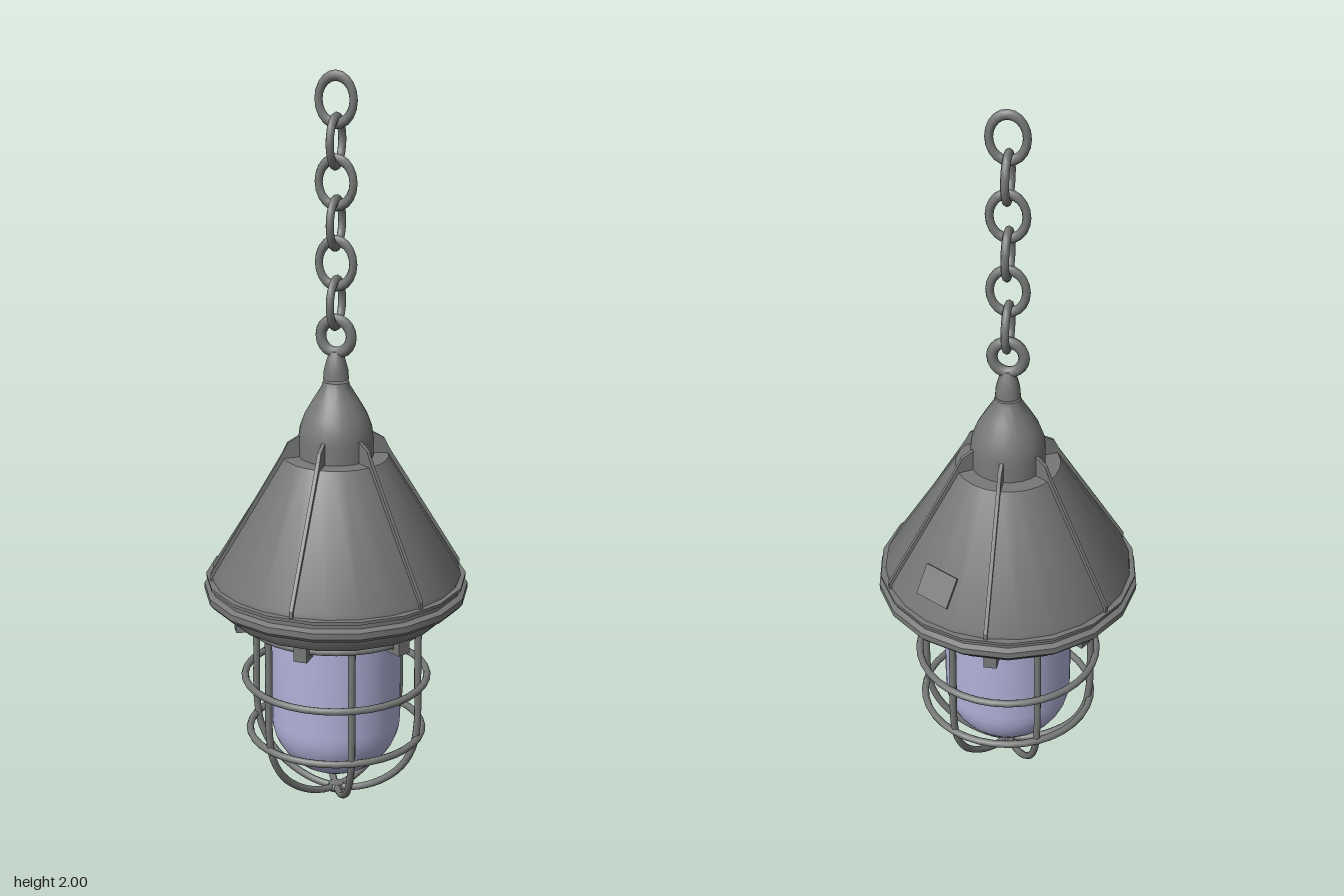
import * as THREE from 'three';
import { toCreasedNormals } from 'three/addons/utils/BufferGeometryUtils.js';

const metal = new THREE.MeshStandardMaterial({ color: 0x767977 });
metal.name = 'grey metal';
const glass = new THREE.MeshStandardMaterial({ color: 0xb3b3dc });
glass.name = 'lavender glass';

const V = (x, y, z = 0) => new THREE.Vector3(x, y, z);

export function createModel() {
  const model = new THREE.Group();
  model.name = 'cagedPendantLamp';

  function add(name, geometry, material = metal, parent = model) {
    const mesh = new THREE.Mesh(geometry, material);
    mesh.name = name;
    parent.add(mesh);
    return mesh;
  }

  // Profiles run from bottom to top as [radius, height]
  function lathe(name, profile, sides, material = metal) {
    const points = profile.map(([r, y]) => new THREE.Vector2(r, y));
    const geometry = new THREE.LatheGeometry(points, sides, Math.PI / 2);
    return add(name, toCreasedNormals(geometry, 0.6), material);
  }

  // Repeats a part around the vertical axis; the part is built pointing along +x
  function around(count, offset, build) {
    for (let i = 0; i < count; i++) {
      const arm = new THREE.Group();
      arm.rotation.y = offset + (i * Math.PI * 2) / count;
      build(arm, i);
      model.add(arm);
    }
  }

  // Chain: oval links turned a quarter from one to the next
  for (let i = 0; i < 6; i++) {
    const link = add('chainLink', new THREE.TorusGeometry(0.047, 0.011, 8, 20));
    link.scale.y = 1.28;
    link.position.y = 1.926 - i * 0.1045;
    link.rotation.y = i % 2 ? Math.PI / 2 : 0;
  }

  // Hanging eye and its flared neck
  const eye = add('hangingEye', new THREE.TorusGeometry(0.042, 0.015, 8, 20));
  eye.position.y = 1.315;
  eye.scale.y = 1.06;
  lathe('eyeNeck', [[0, 1.2], [0.034, 1.2], [0.032, 1.225], [0.024, 1.255], [0.016, 1.275], [0, 1.278]], 16);

  // Cap above the shade
  lathe('cap', [[0.1, 0.97], [0.1, 1.04], [0.096, 1.07], [0.083, 1.105], [0.06, 1.145], [0.038, 1.18], [0.034, 1.194], [0, 1.194]], 24);

  // Conical shade with a flat shoulder
  lathe('shade', [[0.337, 0.645], [0.335, 0.67], [0.14, 0.99], [0.09, 0.992]], 24);

  // Rim and rounded underside
  lathe('rim', [
    [0, 0.545], [0.26, 0.545], [0.295, 0.553], [0.313, 0.572], [0.32, 0.597], [0.348, 0.6],
    [0.356, 0.61], [0.356, 0.627], [0.342, 0.634], [0.342, 0.644], [0.351, 0.648], [0.351, 0.656], [0.325, 0.658],
  ], 18);

  // Six raised ribs down the shade, each with a fin against the cap
  const ribShape = new THREE.Shape([
    [0.085, 0.98], [0.13, 0.98], [0.325, 0.65], [0.341, 0.65], [0.341, 0.675], [0.144, 1.003], [0.13, 1.032], [0.095, 1.052], [0.085, 1.052],
  ].map(([x, y]) => new THREE.Vector2(x, y)));
  const ribGeometry = new THREE.ExtrudeGeometry(ribShape, { depth: 0.01, bevelEnabled: false });
  ribGeometry.translate(0, 0, -0.005);
  around(6, Math.PI / 6, (arm) => add('shadeRib', ribGeometry, metal, arm));

  // Thin plate on the slope of the shade, at the back
  const plateArm = new THREE.Group();
  plateArm.rotation.y = Math.PI / 3;
  const plate = add('blankPlate', new THREE.BoxGeometry(0.006, 0.085, 0.105), metal, plateArm);
  plate.position.set(0.29, 0.746, 0);
  plate.rotation.z = Math.atan2(0.195, 0.32);
  model.add(plateArm);

  // Glass cover with a domed end
  const dome = [];
  for (let i = 0; i <= 10; i++) {
    const a = (i / 10) * (Math.PI / 2);
    dome.push([0.178 * Math.sin(a), 0.24 - 0.167 * Math.cos(a)]);
  }
  lathe('glassCover', [...dome, [0.178, 0.55]], 32, glass);

  // Cage: six wires meeting in a boss at the bottom
  const wirePath = new THREE.CatmullRomCurve3([V(0.235, 0.54), V(0.235, 0.4), V(0.235, 0.24), V(0.222, 0.165), V(0.185, 0.1), V(0.125, 0.05), V(0.06, 0.021), V(0, 0.012)]);
  const wireGeometry = new THREE.TubeGeometry(wirePath, 30, 0.01, 8);
  around(6, 0, (arm) => add('cageWire', wireGeometry, metal, arm));
  lathe('cageBoss', [[0, 0], [0.02, 0.002], [0.026, 0.012], [0.02, 0.024], [0, 0.026]], 12);

  // Horizontal hoops around the wires
  for (const [radius, y] of [[0.243, 0.527], [0.25, 0.36], [0.238, 0.2]]) {
    const hoop = add('cageHoop', new THREE.TorusGeometry(radius, 0.01, 8, 36));
    hoop.rotation.x = Math.PI / 2;
    hoop.position.y = y;
  }

  // Small clamps that hold the cage to the underside
  around(6, Math.PI / 6, (arm) => {
    const foot = add('clampFoot', new THREE.BoxGeometry(0.05, 0.012, 0.036), metal, arm);
    foot.position.set(0.25, 0.512, 0);
    const post = add('clampPost', new THREE.BoxGeometry(0.022, 0.045, 0.036), metal, arm);
    post.position.set(0.266, 0.53, 0);
  });

  return model;
}
